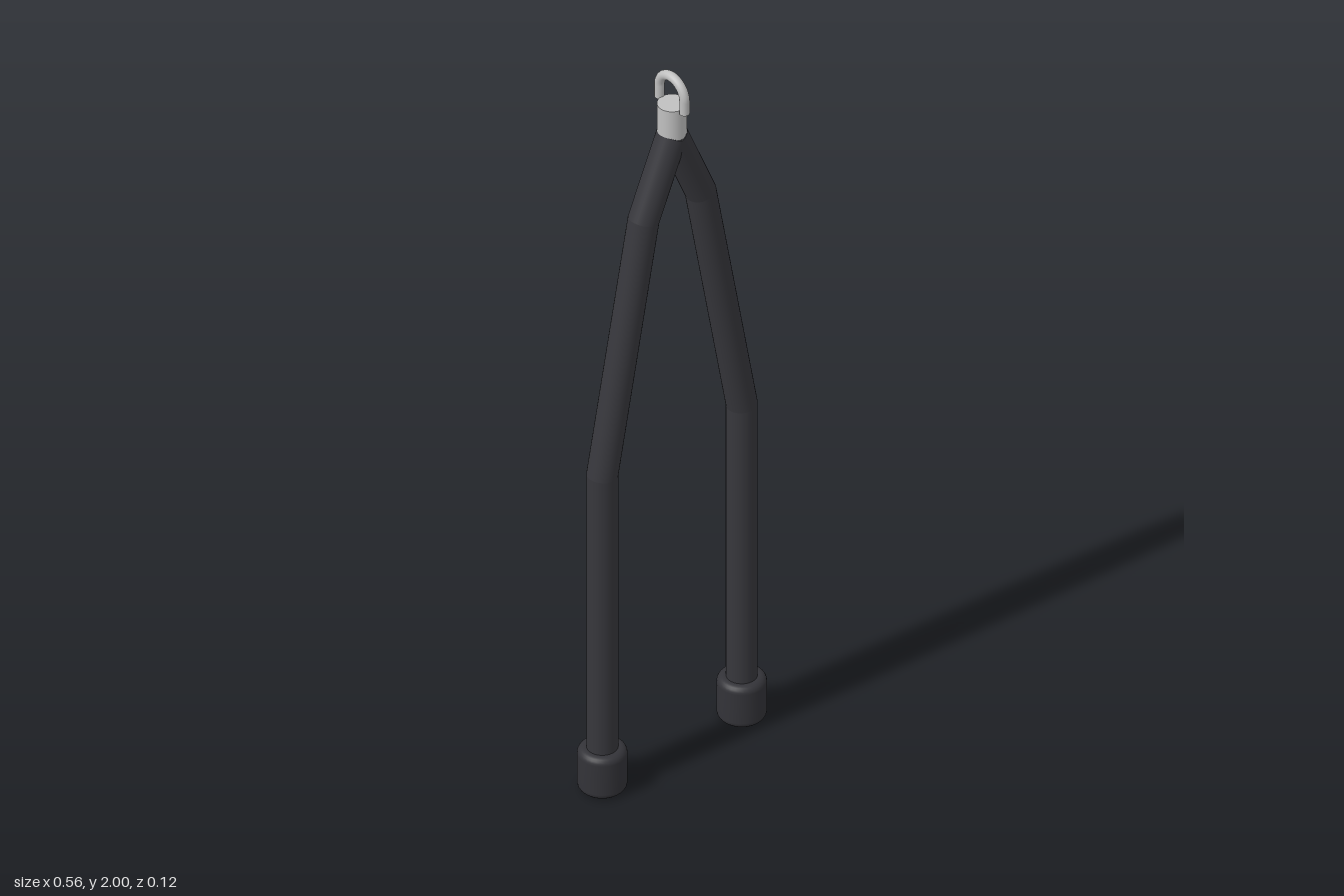
import * as THREE from 'three';

const V = (x, y, z = 0) => new THREE.Vector3(x, y, z);

// Round rod from a to b whose ends are cut along planes with normals na and nb
function mitredRod(a, b, na, nb, radius, material) {
  const axis = b.clone().sub(a);
  const length = axis.length();
  axis.normalize();
  const g = new THREE.CylinderGeometry(radius, radius, length, 32);
  g.applyQuaternion(new THREE.Quaternion().setFromUnitVectors(V(0, 1), axis));
  const mid = a.clone().add(b).multiplyScalar(0.5);
  g.translate(mid.x, mid.y, mid.z);
  const pos = g.attributes.position;
  const p = V(0, 0);
  for (let i = 0; i < pos.count; i++) {
    p.fromBufferAttribute(pos, i);
    const atEnd = p.clone().sub(mid).dot(axis) > 0;
    const end = atEnd ? b : a, n = atEnd ? nb : na;
    p.addScaledVector(axis, end.clone().sub(p).dot(n) / axis.dot(n));
    pos.setXYZ(i, p.x, p.y, p.z);
  }
  return new THREE.Mesh(g, material);
}

export function createModel() {
  const root = new THREE.Group();
  const ropeMat = new THREE.MeshStandardMaterial({ name: 'black rope', color: 0x37373c });
  const capMat = new THREE.MeshStandardMaterial({ name: 'black rubber', color: 0x333338 });
  const metalMat = new THREE.MeshStandardMaterial({ name: 'light steel', color: 0xc0c0c0 });

  for (const side of [-1, 1]) {
    const name = side > 0 ? 'left' : 'right';

    // Rope: three straight runs with mitred bends
    const pts = [[0.218, 0.06], [0.218, 0.92], [0.089, 1.61], [0, 1.82]].map(([x, y]) => V(side * x, y));
    const dirs = pts.slice(1).map((p, i) => p.clone().sub(pts[i]).normalize());
    const normals = pts.map((_, i) =>
      (dirs[i - 1] ?? dirs[i]).clone().add(dirs[i] ?? dirs[i - 1]).normalize());
    const rope = new THREE.Group();
    rope.name = name + 'Rope';
    dirs.forEach((_, i) => {
      const run = mitredRod(pts[i], pts[i + 1], normals[i], normals[i + 1], 0.038, ropeMat);
      run.name = 'ropeRun' + (i + 1);
      rope.add(run);
    });
    root.add(rope);

    // End stopper with rounded rims
    const profile = [new THREE.Vector2(0, 0)];
    const corner = (cy, from) => {
      for (let i = 0; i <= 5; i++) {
        const t = from + (i / 5) * Math.PI / 2;
        profile.push(new THREE.Vector2(0.042 + 0.018 * Math.cos(t), cy + 0.018 * Math.sin(t)));
      }
    };
    corner(0.018, -Math.PI / 2);
    corner(0.102, 0);
    profile.push(new THREE.Vector2(0, 0.12));
    const cap = new THREE.Mesh(new THREE.LatheGeometry(profile, 32), capMat);
    cap.name = name + 'Stopper';
    cap.position.x = side * 0.218;
    root.add(cap);
  }

  // Metal ferrule gathering both ropes
  const ferrule = new THREE.Mesh(new THREE.CylinderGeometry(0.036, 0.036, 0.088, 32), metalMat);
  ferrule.name = 'ferrule';
  ferrule.position.y = 1.867;
  root.add(ferrule);

  // U-shaped attachment loop: half-ring arch on two straight legs
  const loop = new THREE.Group();
  loop.name = 'attachmentLoop';
  const arch = new THREE.Mesh(new THREE.TorusGeometry(0.0455, 0.0125, 16, 32, Math.PI), metalMat);
  arch.name = 'loopArch';
  arch.rotation.y = Math.PI / 2;
  arch.position.y = 1.942;
  loop.add(arch);
  for (const side of [-1, 1]) {
    const leg = new THREE.Mesh(new THREE.CylinderGeometry(0.0125, 0.0125, 0.036, 16), metalMat);
    leg.name = side > 0 ? 'frontLoopLeg' : 'backLoopLeg';
    leg.position.set(0, 1.924, side * 0.0455);
    loop.add(leg);
  }
  root.add(loop);

  return root;
}
